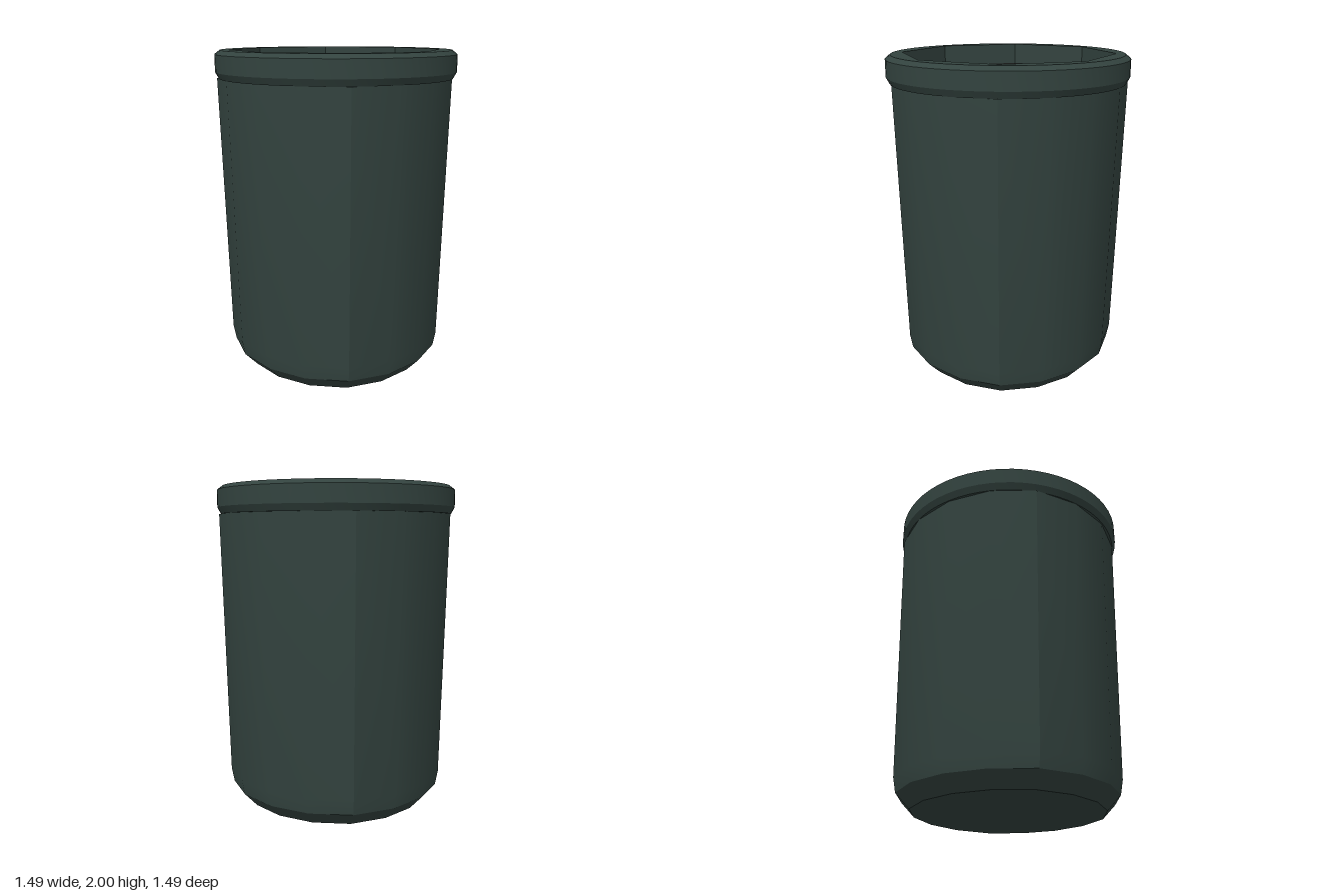
import * as THREE from 'three';
import { toCreasedNormals } from 'three/addons/utils/BufferGeometryUtils.js';

const green = new THREE.MeshStandardMaterial({ color: 0x33433f });
const dark = new THREE.MeshStandardMaterial({ color: 0x1a1c1b });

// Revolved profile with edges sharper than the crease angle kept hard
function turned(points, sides, creaseDeg, reshape) {
  const g = new THREE.LatheGeometry(points.map(([r, y]) => new THREE.Vector2(r, y)), sides);
  if (reshape) reshape(g.attributes.position);
  return toCreasedNormals(g, THREE.MathUtils.degToRad(creaseDeg));
}

// Pull the wall in between the four axes, leaving a seam on each axis
function pinchQuarters(pos) {
  for (let i = 0; i < pos.count; i++) {
    const x = pos.getX(i), z = pos.getZ(i);
    const k = 1 - 0.025 * Math.abs(Math.sin(2 * Math.atan2(z, x)));
    pos.setX(i, x * k);
    pos.setZ(i, z * k);
  }
}

export function createModel() {
  const group = new THREE.Group();
  const add = (name, geometry, material) => {
    const mesh = new THREE.Mesh(geometry, material);
    mesh.name = name;
    group.add(mesh);
  };

  // Tapered outer wall with chamfered foot and closed base
  add('body', turned(
    [[0, 0], [0.595, 0], [0.68, 0.09], [0.697, 0.18], [0.737, 1.83], [0.69, 1.83]],
    16, 25, pinchQuarters), green);

  // Round collar
  add('rim', turned(
    [[0.68, 1.83], [0.725, 1.83], [0.747, 1.87], [0.747, 1.975], [0.715, 2]],
    64, 25), green);

  // Flat top with an octagonal opening
  const top = new THREE.Shape().absarc(0, 0, 0.715, 0, Math.PI * 2, false);
  const hole = [];
  for (let i = 0; i < 8; i++) {
    const a = -i * Math.PI / 4;
    hole.push(new THREE.Vector2(0.66 * Math.cos(a), 0.66 * Math.sin(a)));
  }
  top.holes.push(new THREE.Path(hole));
  add('rimTop', new THREE.ShapeGeometry(top, 64).rotateX(-Math.PI / 2).translate(0, 2, 0), green);

  // Octagonal inner edge of the rim, then the dark hollow below it
  add('rimInnerWall', turned([[0.66, 2], [0.658, 1.87]], 8, 25), green);
  add('liner', turned([[0.658, 1.87], [0.648, 0.1], [0, 0.1]], 8, 25), dark);

  return group;
}
